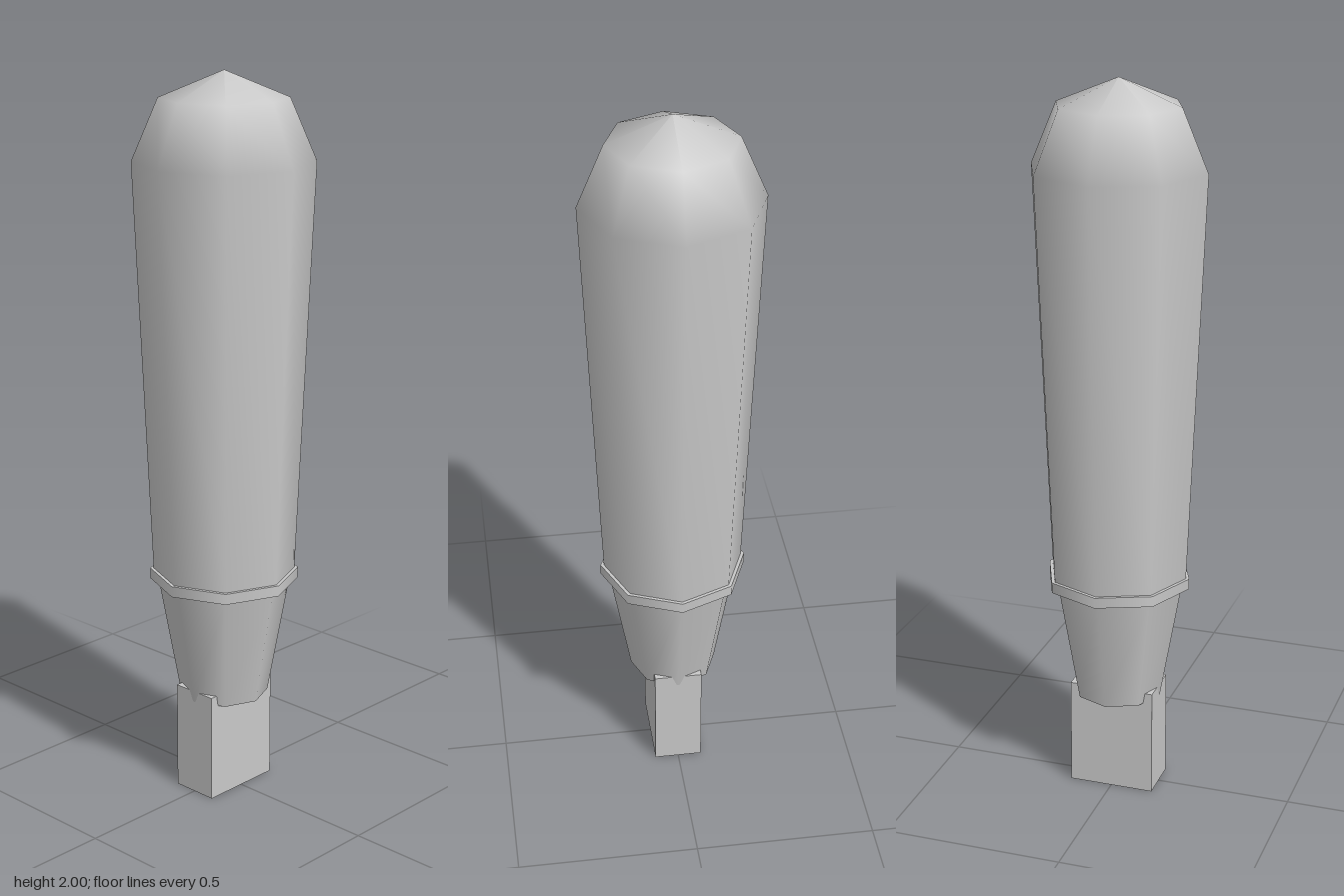
import * as THREE from 'three';

export function createModel() {
  const model = new THREE.Group();
  const grey = new THREE.MeshStandardMaterial({ color: 0xc8c8c8 });
  grey.name = 'light grey';
  const SIDES = 8;

  const add = (name, geometry, y = 0) => {
    const mesh = new THREE.Mesh(geometry, grey);
    mesh.name = name;
    mesh.position.y = y;
    model.add(mesh);
  };

  // Eight-sided tapered ring between two heights
  const taper = (name, rTop, rBottom, y0, y1) =>
    add(name, new THREE.CylinderGeometry(rTop, rBottom, y1 - y0, SIDES), (y0 + y1) / 2);

  // Handle grip with a rounded end, smooth shaded
  const profile = [[0.194, 0.63], [0.242, 1.765], [0.171, 1.93], [0, 2]];
  add('grip', new THREE.LatheGeometry(profile.map(([r, y]) => new THREE.Vector2(r, y)), SIDES));

  // Thin collar and tapered neck below the grip
  taper('collar', 0.204, 0.204, 0.61, 0.64);
  taper('neck', 0.182, 0.122, 0.275, 0.612);

  // Rectangular tang at the foot
  add('tang', new THREE.BoxGeometry(0.24, 0.305, 0.134), 0.1525);

  return model;
}
